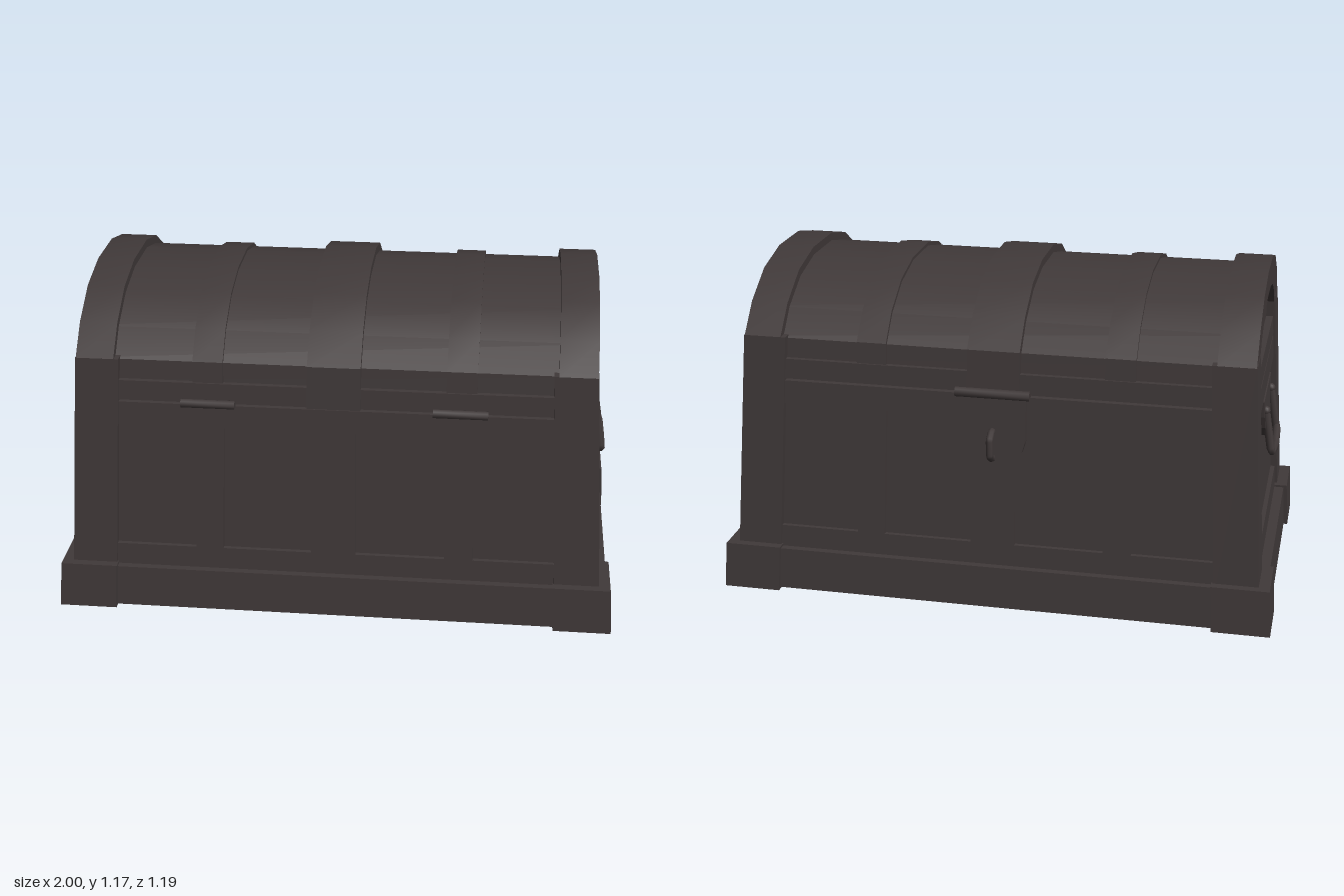
import * as THREE from 'three';
import { toCreasedNormals } from 'three/addons/utils/BufferGeometryUtils.js';

export function createModel() {
  const chest = new THREE.Group();
  chest.name = 'chest';
  const darkWood = new THREE.MeshStandardMaterial({ color: 0x403939 });
  darkWood.name = 'darkWood';

  const add = (name, geo) => {
    const m = new THREE.Mesh(geo, darkWood);
    m.name = name;
    chest.add(m);
    return m;
  };

  // The walls lean inwards with height
  const taper = (geo) => {
    const p = geo.attributes.position;
    for (let i = 0; i < p.count; i++) {
      const h = p.getY(i) - 0.165;
      p.setX(i, p.getX(i) * (1 - 0.06 * h));
      p.setZ(i, p.getZ(i) * (1 - 0.115 * h));
    }
    geo.computeVertexNormals();
    return geo;
  };
  const slab = (name, x0, x1, y0, y1, z0, z1) => {
    const g = new THREE.BoxGeometry(x1 - x0, y1 - y0, z1 - z0);
    g.translate((x0 + x1) / 2, (y0 + y1) / 2, (z0 + z1) / 2);
    return add(name, taper(g));
  };

  // Mirrored profile in (z, y), extruded along x
  const mirror = (half) => [...half, ...half.map(([z, y]) => [-z, y]).reverse()];
  const toShape = (pts) => new THREE.Shape(pts.map(([z, y]) => new THREE.Vector2(-z, y)));
  const extrudeX = (shape, x0, x1) => {
    const g = new THREE.ExtrudeGeometry(shape, { depth: x1 - x0, bevelEnabled: false });
    g.rotateY(Math.PI / 2).translate(x0, 0, 0);
    return toCreasedNormals(g, 0.5);
  };

  // Base plinth and its corner blocks
  slab('plinth', -0.977, 0.977, 0.008, 0.16, -0.572, 0.572);
  for (const sx of [-1, 1]) for (const sz of [-1, 1]) {
    const xs = (a, b) => (sx > 0 ? [a, b] : [-b, -a]);
    const zs = (a, b) => (sz > 0 ? [a, b] : [-b, -a]);
    slab('cornerBlock', ...xs(0.785, 0.99), 0, 0.168, ...zs(0.375, 0.585));
    slab('cornerPost', ...xs(0.79, 0.95), 0.1, 0.95, ...zs(0.4, 0.555));
  }

  // Body: recessed panels framed by rails and stiles
  slab('bodyPanels', -0.925, 0.925, 0.1, 0.789, -0.53, 0.53);
  slab('bottomRail', -0.941, 0.941, 0.1, 0.24, -0.546, 0.546);
  slab('topRail', -0.941, 0.941, 0.705, 0.79, -0.546, 0.546);
  for (const [a, b] of [[-0.5, -0.4], [-0.08, 0.08], [0.4, 0.5]]) {
    slab('stile', a, b, 0.2, 0.75, -0.546, 0.546);
  }

  // Lid rim, separated from the body by a narrow gap
  slab('lidRim', -0.941, 0.941, 0.798, 0.87, -0.546, 0.546);

  // Barrel lid, its straps and end arches
  const barrel = [[0.484, 0.86], [0.476, 0.94], [0.397, 1.03], [0.265, 1.108], [0.105, 1.146]];
  const strap = [[0.496, 0.86], [0.488, 0.945], [0.406, 1.04], [0.27, 1.12], [0.107, 1.158]];
  const outer = [[0.505, 0.95], [0.415, 1.05], [0.277, 1.135], [0.108, 1.175]];
  const inner = [[0.363, 0.86], [0.357, 0.93], [0.31, 0.985], [0.2, 1.045], [0.07, 1.073]];
  add('barrelLid', extrudeX(toShape(mirror(barrel)), -0.875, 0.875));
  for (const x of [-0.442, 0.442]) {
    add('sideStrap', extrudeX(toShape(mirror(strap)), x - 0.053, x + 0.053));
  }
  add('centreStrap', extrudeX(toShape(mirror([[0.517, 0.797], ...outer])), -0.093, 0.093));
  const arch = toShape([...mirror(outer), ...mirror(inner).reverse()]);
  add('leftArch', extrudeX(arch, 0.77, 0.903));
  add('rightArch', extrudeX(arch, -0.903, -0.77));

  // Hinge barrels on the front and the hasp bar on the back
  const rod = (name, x, y, z, len, r) => {
    const g = new THREE.CylinderGeometry(r, r, len, 8);
    g.rotateZ(Math.PI / 2).translate(x, y, z);
    add(name, toCreasedNormals(g, 0.9));
  };
  for (const s of [-1, 1]) rod('hinge', s * 0.44, 0.8, 0.519, 0.19, 0.016);
  rod('haspBar', 0, 0.8, -0.522, 0.265, 0.018);

  // Rounded hasp plate
  const hasp = new THREE.Shape();
  hasp.moveTo(-0.125, 0.8);
  hasp.lineTo(-0.12, 0.63);
  hasp.quadraticCurveTo(-0.1, 0.525, 0, 0.525);
  hasp.quadraticCurveTo(0.1, 0.525, 0.12, 0.63);
  hasp.lineTo(0.125, 0.8);
  const haspGeo = new THREE.ExtrudeGeometry(hasp, { depth: 0.045, bevelEnabled: false, curveSegments: 5 });
  add('haspPlate', taper(haspGeo.translate(0, 0, -0.565)));

  const tube = (name, pts, r) => {
    const path = new THREE.CatmullRomCurve3(pts.map((p) => new THREE.Vector3(...p)), false, 'catmullrom', 0.12);
    return add(name, new THREE.TubeGeometry(path, 36, r, 8));
  };
  // Staple loop through the hasp
  tube('staple', [[0, 0.665, -0.515], [0, 0.665, -0.545], [0, 0.645, -0.573],
    [0, 0.59, -0.573], [0, 0.568, -0.545], [0, 0.568, -0.515]], 0.013);

  // Carrying handles and their backing plates at both ends
  const backing = mirror([[0.182, 0.71], [0.172, 0.65], [0.155, 0.605], [0.1, 0.557], [0.035, 0.54]]);
  for (const s of [-1, 1]) {
    const x = s * 0.937;
    add('handlePlate', taper(extrudeX(toShape(backing), x - 0.009, x + 0.009)));
    tube('handle', [[s * 0.92, 0.665, 0.126], [s * 0.945, 0.515, 0.13], [s * 0.95, 0.508, 0.12],
      [s * 0.953, 0.492, 0], [s * 0.95, 0.508, -0.12], [s * 0.945, 0.515, -0.13],
      [s * 0.92, 0.665, -0.126]], 0.015);
    for (const z of [-0.126, 0.126]) {
      const knob = add('handleEnd', new THREE.SphereGeometry(0.017, 10, 8));
      knob.position.set(s * 0.92, 0.665, z);
    }
  }
  return chest;
}
